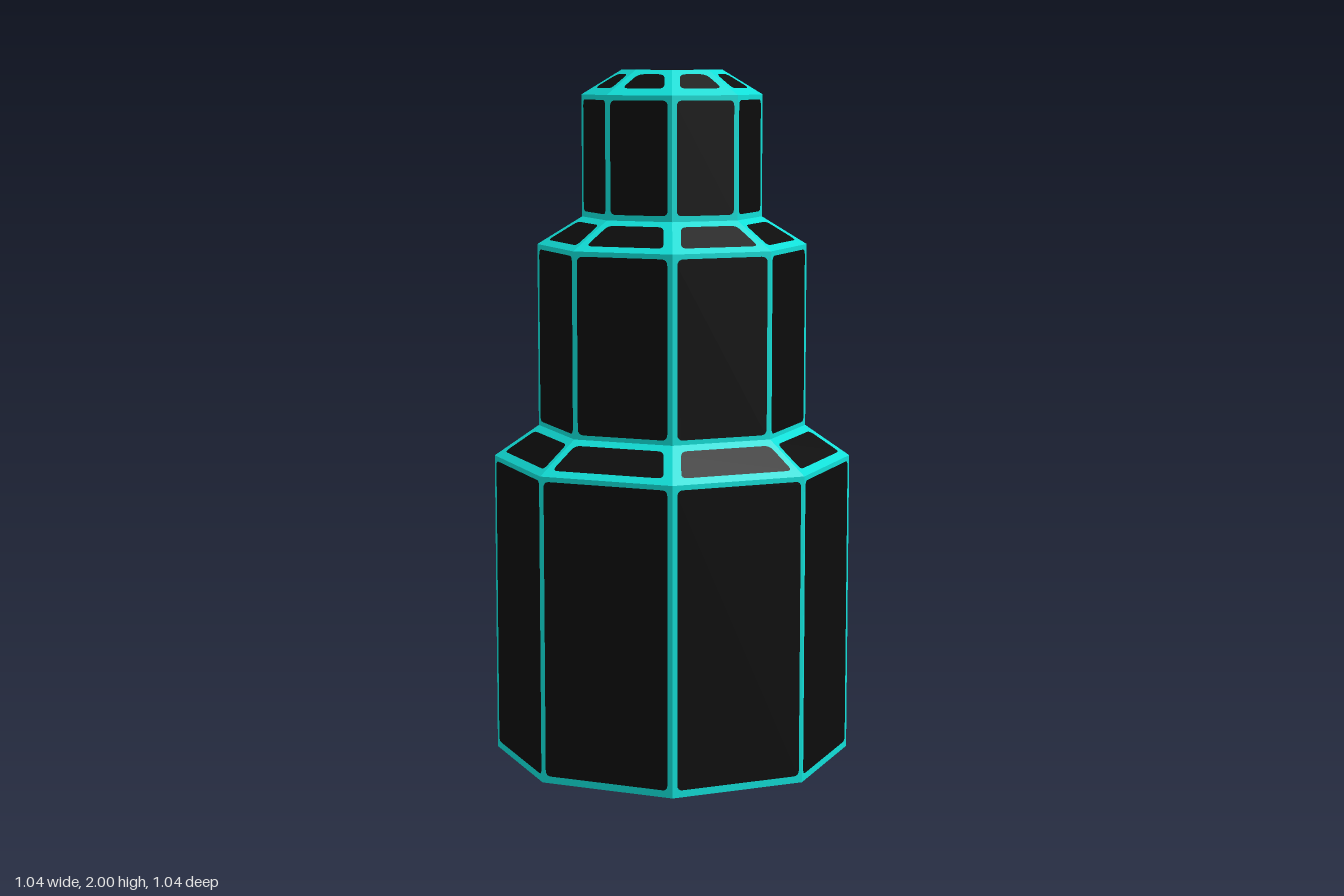
import * as THREE from 'three';

const SIDES = 8;
const STEP = (Math.PI * 2) / SIDES;
const APO = Math.cos(STEP / 2);
const HALF = Math.sin(STEP / 2);

// Closed outline through the points, with softened corners
function roundedOutline(points, radius, target) {
  const p = points.map(([x, y]) => new THREE.Vector2(x, y));
  const toward = (a, b) => a.clone().add(b.clone().sub(a).setLength(radius));
  p.forEach((c, i) => {
    const a = toward(c, p[(i + p.length - 1) % p.length]);
    const b = toward(c, p[(i + 1) % p.length]);
    if (i === 0) target.moveTo(a.x, a.y); else target.lineTo(a.x, a.y);
    target.quadraticCurveTo(c.x, c.y, b.x, b.y);
  });
  target.closePath();
  return target;
}

const octagon = (r) => Array.from({ length: SIDES }, (_, i) => [r * Math.cos(i * STEP), r * Math.sin(i * STEP)]);
const toShape = (points) => new THREE.Shape(points.map(([x, y]) => new THREE.Vector2(x, y)));

export function createModel() {
  const model = new THREE.Group();
  const trim = new THREE.MeshStandardMaterial({ color: 0x10dfd8 });
  trim.name = 'cyan trim';
  const dark = new THREE.MeshStandardMaterial({ color: 0x0c0c0c });
  dark.name = 'black panel';

  // A flat face: trim border with a dark panel filling its opening
  function framedFace(name, outer, inner, radius) {
    const group = new THREE.Group();
    group.name = name;
    const frame = toShape(outer);
    frame.holes.push(roundedOutline(inner, radius, new THREE.Path()));
    const panel = roundedOutline(inner, radius, new THREE.Shape());
    [['Frame', frame, trim], ['Panel', panel, dark]].forEach(([suffix, shape, material]) => {
      const mesh = new THREE.Mesh(new THREE.ShapeGeometry(shape, 4), material);
      mesh.name = name + suffix;
      group.add(mesh);
    });
    return group;
  }

  // Bands from the ground up; insets: bottom, top, axis edge, diagonal edge
  const bands = [
    { name: 'lowerWall', r0: 0.52, y0: 0, r1: 0.52, y1: 0.88, inset: [0.02, 0.014, 0.01, 0.015], round: 0.016 },
    { name: 'lowerShoulder', r0: 0.52, y0: 0.88, r1: 0.39, y1: 0.97, inset: [0.025, 0.024, 0.018, 0.025], round: 0.018 },
    { name: 'middleWall', r0: 0.39, y0: 0.97, r1: 0.39, y1: 1.5, inset: [0.013, 0.014, 0.011, 0.015], round: 0.018 },
    { name: 'middleShoulder', r0: 0.39, y0: 1.5, r1: 0.26, y1: 1.58, inset: [0.025, 0.024, 0.02, 0.025], round: 0.018 },
    { name: 'upperWall', r0: 0.26, y0: 1.58, r1: 0.26, y1: 1.93, inset: [0.016, 0.014, 0.011, 0.014], round: 0.016 },
    { name: 'upperShoulder', r0: 0.26, y0: 1.93, r1: 0.145, y1: 2, inset: [0.034, 0.022, 0.022, 0.022], round: 0.02 },
  ];

  for (const { name, r0, y0, r1, y1, inset, round } of bands) {
    const [bottom, top, axis, diagonal] = inset;
    const a = r0 * HALF, b = r1 * HALF;
    const dr = (r1 - r0) * APO, dy = y1 - y0;
    const h = Math.hypot(dr, dy);
    const slant = Math.hypot(1, (a - b) / h);
    const edge = (v, gap) => a + ((b - a) * v) / h - gap * slant;
    const band = new THREE.Group();
    band.name = name;

    for (let i = 0; i < SIDES; i++) {
      const [left, right] = i % 2 ? [diagonal, axis] : [axis, diagonal];
      const face = framedFace(name + 'Face', [[-a, 0], [a, 0], [b, h], [-b, h]], [
        [-edge(bottom, left), bottom], [edge(bottom, right), bottom],
        [edge(h - top, right), h - top], [-edge(h - top, left), h - top],
      ], round);

      // Stand the face up on its side of the octagon
      const t = (i + 0.5) * STEP;
      const across = new THREE.Vector3(Math.cos(t), 0, -Math.sin(t));
      const rise = new THREE.Vector3(Math.sin(t) * dr, dy, Math.cos(t) * dr).normalize();
      const normal = across.clone().cross(rise);
      face.quaternion.setFromRotationMatrix(new THREE.Matrix4().makeBasis(across, rise, normal));
      face.position.set(Math.sin(t) * r0 * APO, y0, Math.cos(t) * r0 * APO);
      band.add(face);
    }
    model.add(band);
  }

  // Flat top cap and underside
  const cap = framedFace('topCap', octagon(0.145), octagon(0.125), 0.035);
  cap.rotation.x = -Math.PI / 2;
  cap.position.y = 2;
  const base = framedFace('underside', octagon(0.52), octagon(0.465), 0.04);
  base.rotation.x = Math.PI / 2;
  model.add(cap, base);

  return model;
}
